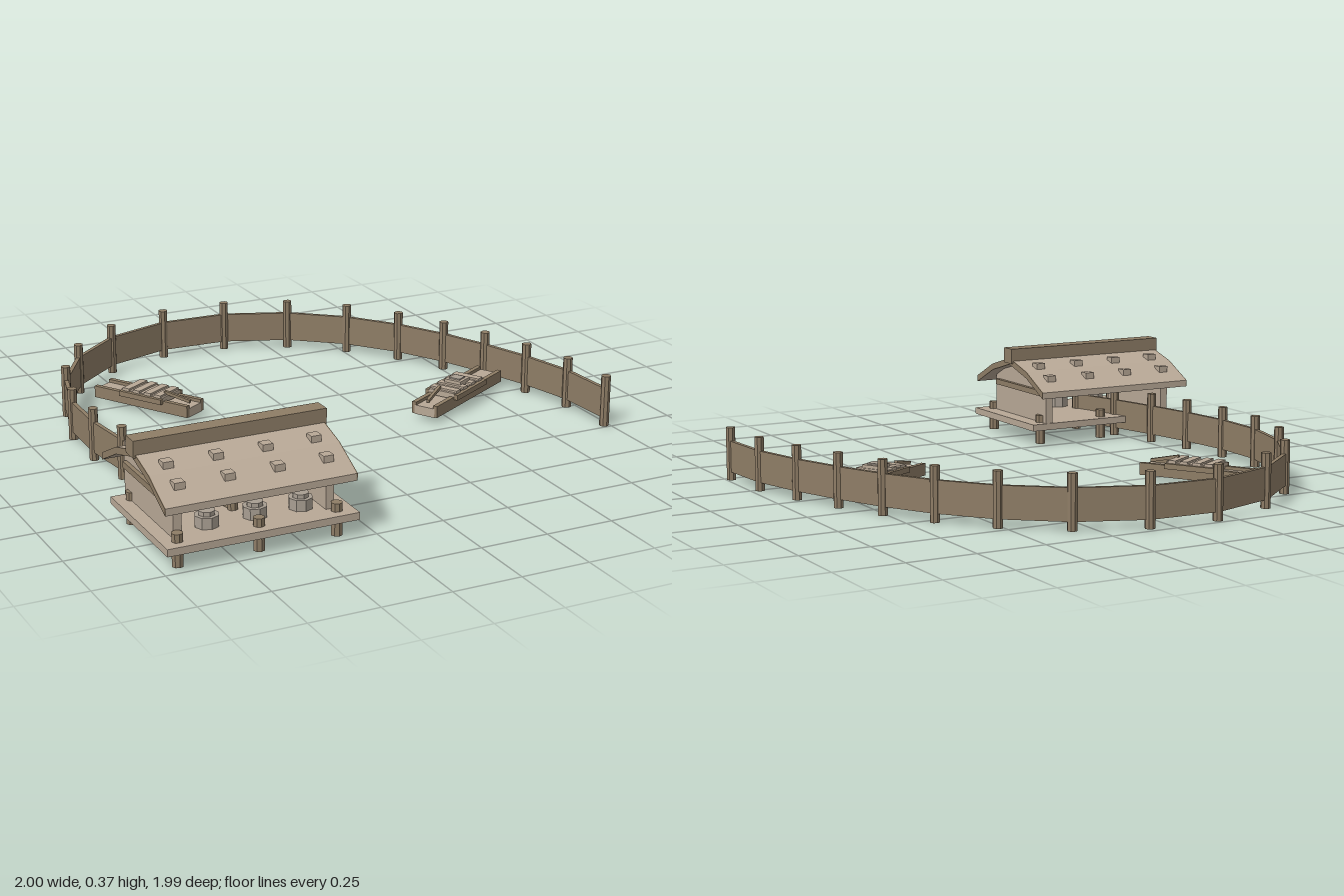
import * as THREE from 'three';

const mat = (name, color) => {
  const m = new THREE.MeshStandardMaterial({ color });
  m.name = name;
  return m;
};

export function createModel() {
  const brown = mat('brown timber', 0x8e7d66);
  const pale = mat('pale timber', 0xb8a896);
  const grey = mat('weathered wood', 0xa89e92);
  const model = new THREE.Group();

  const add = (parent, name, geo, material, x = 0, y = 0, z = 0) => {
    const mesh = new THREE.Mesh(geo, material);
    mesh.name = name;
    mesh.position.set(x, y, z);
    parent.add(mesh);
    return mesh;
  };
  const box = (parent, name, m, w, h, d, x, y, z) =>
    add(parent, name, new THREE.BoxGeometry(w, h, d), m, x, y, z);
  const post = (parent, name, m, r, y0, y1, x, z) => {
    const g = new THREE.CylinderGeometry(r, r, y1 - y0, 8).toNonIndexed();
    g.computeVertexNormals();
    return add(parent, name, g, m, x, (y0 + y1) / 2, z);
  };
  const group = (name) => {
    const g = new THREE.Group();
    g.name = name;
    model.add(g);
    return g;
  };

  // Curved palisade: posts joined by straight panels
  const fence = group('fence');
  const path = [
    [0.98, 0.48], [0.965, 0.245], [0.912, 0.035], [0.842, -0.16], [0.762, -0.345],
    [0.658, -0.53], [0.517, -0.71], [0.324, -0.867], [0.083, -0.963], [-0.18, -0.973],
    [-0.436, -0.888], [-0.637, -0.72], [-0.77, -0.5], [-0.834, -0.26], [-0.84, -0.035],
    [-0.815, 0.177], [-0.777, 0.375], [-0.73, 0.58], [-0.67, 0.785],
  ];
  path.forEach(([x, z], i) => {
    // the last posts stop beneath the hut's roof
    post(fence, 'fencePost', brown, 0.018, 0, 0.195, x, z);
    if (!i) return;
    const [px, pz] = path[i - 1];
    const panel = box(fence, 'fencePanel', brown, Math.hypot(x - px, z - pz), 0.115, 0.015,
      (x + px) / 2, 0.088, (z + pz) / 2);
    panel.rotation.y = -Math.atan2(z - pz, x - px);
  });

  // Raised hut
  const hut = group('hut');
  const cx = -0.655, cz = 0.72;
  box(hut, 'platform', pale, 0.68, 0.026, 0.485, -0.65, 0.073, 0.753);
  for (const x of [-0.935, -0.65, -0.37])
    for (const z of [0.945, 0.56]) post(hut, 'stilt', brown, 0.02, 0, 0.115, x, z);

  // Profiles are drawn across the ridge, then swept along x
  const sweep = (points, depth) => {
    const g = new THREE.ExtrudeGeometry(
      new THREE.Shape(points.map(([a, b]) => new THREE.Vector2(a, b))),
      { depth, bevelEnabled: false });
    return g.translate(0, 0, -depth / 2).rotateY(Math.PI / 2);
  };
  const slope = [[-0.27, 0.222], [-0.14, 0.287], [0, 0.327], [0.14, 0.287], [0.27, 0.222]];
  const under = slope.map(([a, b]) => [a, b - 0.025]).reverse();
  add(hut, 'roof', sweep([...slope, ...under], 0.67), pale, cx, 0, cz);
  add(hut, 'eaveBoards', sweep([...slope, ...under], 0.004), brown, cx + 0.336, 0, cz);
  add(hut, 'eaveBoards', sweep([...slope, ...under], 0.004), brown, cx - 0.336, 0, cz);
  box(hut, 'ridgeBeam', brown, 0.69, 0.06, 0.064, cx, 0.337, cz);

  // End walls with a cross beam
  const gable = [[-0.205, 0.086], [0.205, 0.086], [0.205, 0.232], [0.14, 0.264], [0, 0.304],
    [-0.14, 0.264], [-0.205, 0.232]];
  for (const s of [-1, 1]) {
    add(hut, 'gableWall', sweep(gable, 0.03), pale, cx + s * 0.27, 0, cz);
    box(hut, 'gableBeam', brown, 0.03, 0.022, 0.365, cx + s * 0.285, 0.205, cz);
  }

  // Blocks weighing down the roof
  for (const x of [-0.917, -0.743, -0.568, -0.393])
    for (const [dz, y] of [[0.105, 0.303], [0.195, 0.265]])
      for (const s of [-1, 1])
        box(hut, 'roofBlock', pale, 0.037, 0.024, 0.037, x, y, cz + s * dz);

  // Tubs on the platform
  for (const x of [-0.8, -0.63, -0.465]) {
    post(hut, 'tub', grey, 0.042, 0.086, 0.125, x, 0.87);
    post(hut, 'tubLid', grey, 0.028, 0.125, 0.14, x, 0.87);
  }

  // Flat boats: +x of each group is the steering end
  const boat = (x, z, angle, length, cabin) => {
    const g = group('boat');
    g.position.set(x, 0, z);
    g.rotation.y = angle;
    box(g, 'hull', pale, length, 0.035, 0.085, 0, 0.038, 0);
    for (const s of [-1, 1]) {
      box(g, 'sideRail', brown, length, 0.045, 0.018, 0, 0.045, s * 0.045);
      box(g, 'outerRail', brown, length * 0.45, 0.02, 0.016, 0.01, 0.067, s * 0.062);
    }
    box(g, 'deck', pale, length * 0.45, 0.022, 0.108, 0.01, 0.07, 0);
    for (const u of [-0.17, -0.06, 0.06, 0.17])
      box(g, 'plank', pale, 0.03, 0.012, 0.115, 0.01 + u * length, 0.082, 0);
    if (cabin) {
      box(g, 'cabin', pale, 0.07, 0.022, 0.07, 0.005, 0.089, 0);
      box(g, 'cabinTop', grey, 0.042, 0.006, 0.045, 0.005, 0.102, 0);
    }
    const oar = box(g, 'steeringOar', brown, 0.11, 0.012, 0.012, length * 0.33, 0.08, 0.01);
    oar.rotation.set(0, 0.12, -0.2);
  };
  boat(-0.468, -0.43, -1.025, 0.43, false);
  boat(0.615, 0.024, Math.PI + 0.525, 0.49, true);

  return model;
}
